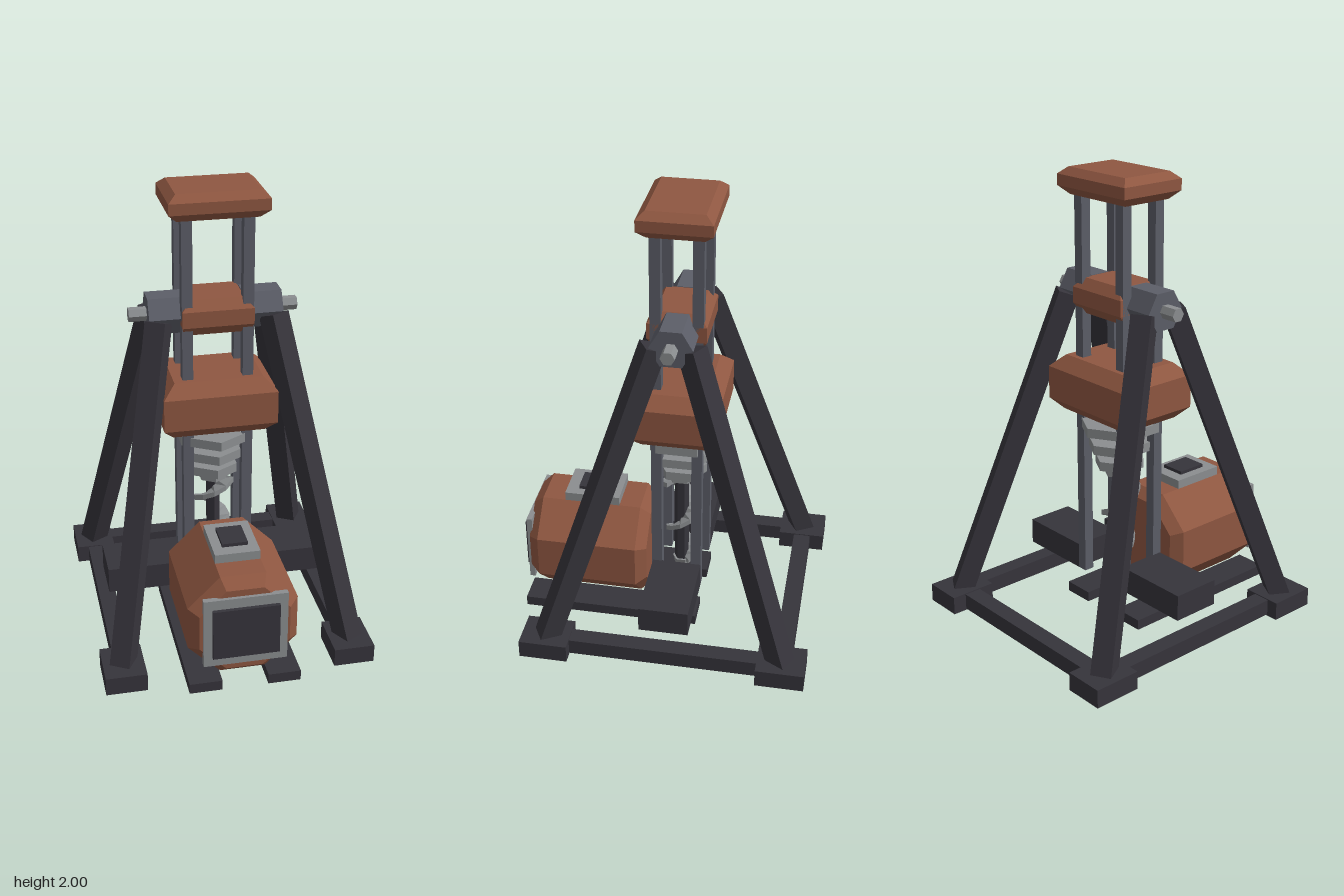
import * as THREE from 'three';
import { ConvexGeometry } from 'three/addons/geometries/ConvexGeometry.js';

const CZ = -0.037; // z of the tower axis

export function createModel() {
  const model = new THREE.Group();
  model.name = 'drillRig';

  const mat = (name, color) => {
    const m = new THREE.MeshStandardMaterial({ color, flatShading: true });
    m.name = name;
    return m;
  };
  const rust = mat('rustBrown', 0x8f5741);
  const dark = mat('darkIron', 0x36343b);
  const steel = mat('blueSteel', 0x5c5e68);
  const light = mat('lightSteel', 0x8b8e90);

  const add = (name, geo, material, x = 0, y = 0, z = 0) => {
    const mesh = new THREE.Mesh(geo, material);
    mesh.name = name;
    mesh.position.set(x, y, z);
    model.add(mesh);
    return mesh;
  };
  // box given by its limits on each axis
  const box = (name, material, [x0, x1], [y0, y1], [z0, z1]) =>
    add(name, new THREE.BoxGeometry(x1 - x0, y1 - y0, z1 - z0), material,
      (x0 + x1) / 2, (y0 + y1) / 2, (z0 + z1) / 2);
  // block with sloped top and bottom edges; rings are [y, half x, half z]
  const bevelBlock = (name, rings) => {
    const pts = [];
    for (const [y, hx, hz] of rings)
      for (const sx of [-1, 1]) for (const sz of [-1, 1]) pts.push(new THREE.Vector3(sx * hx, y, sz * hz));
    return add(name, new ConvexGeometry(pts), rust, 0, 0, CZ);
  };
  const hex = (name, material, r, y0, y1, rBottom = r) =>
    add(name, new THREE.CylinderGeometry(r, rBottom, y1 - y0, 6), material, 0, (y0 + y1) / 2, CZ);

  // Base frame
  for (const s of [-1, 1]) {
    const span = (a, b) => (s > 0 ? [a, b] : [-b, -a]);
    box('frontFoot', dark, span(0.41, 0.588), [0, 0.082], [0.38, 0.595]);
    box('rearFoot', dark, span(0.41, 0.588), [0, 0.082], [-0.67, -0.457]);
    box('sideBeam', dark, span(0.458, 0.536), [0.006, 0.078], [-0.46, 0.385]);
    box('tankSkid', dark, span(0.1, 0.242), [0, 0.046], [-0.14, 0.655]);
    box('guideBlock', dark, span(0.15, 0.5), [0.16, 0.277], [-0.149, 0.07]);
  }
  box('rearBeam', dark, [-0.42, 0.42], [0.006, 0.078], [-0.606, -0.528]);

  // Four leaning legs
  for (const sx of [-1, 1]) for (const sz of [-1, 1]) {
    const foot = new THREE.Vector3(sx * 0.5, 0.06, CZ + sz * 0.525);
    const head = new THREE.Vector3(sx * 0.246, 1.445, CZ + sz * 0.08);
    const leg = add('leg', new THREE.BoxGeometry(0.09, 0.09, foot.distanceTo(head)), dark);
    leg.position.copy(foot).add(head).multiplyScalar(0.5);
    leg.lookAt(head);
  }

  // Cross axle with hubs and pins
  for (const s of [-1, 1]) {
    const hub = add('axleHub', new THREE.CylinderGeometry(0.092, 0.092, 0.166, 6), steel, s * 0.203, 1.457, CZ);
    const pin = add('axlePin', new THREE.CylinderGeometry(0.031, 0.031, 0.1, 6), light, s * 0.312, 1.457, CZ);
    hub.rotation.z = pin.rotation.z = Math.PI / 2;
  }

  // Guide posts
  for (const sx of [-1, 1]) for (const sz of [-1, 1])
    add('guidePost', new THREE.BoxGeometry(0.046, 1.74, 0.046), steel, sx * 0.13, 1.03, CZ + sz * 0.089);

  // Bevelled housings along the tower
  bevelBlock('topCap', [[1.885, 0.172, 0.117], [1.922, 0.21, 0.155], [1.97, 0.21, 0.155], [2, 0.176, 0.121]]);
  bevelBlock('axleHousing', [[1.38, 0.14, 0.09], [1.425, 0.153, 0.126], [1.495, 0.153, 0.126], [1.537, 0.115, 0.09]]);
  bevelBlock('driveHousing', [[0.935, 0.2, 0.143], [0.985, 0.247, 0.19], [1.13, 0.247, 0.19], [1.185, 0.192, 0.135]]);

  // Drill: stepped collars, shaft and tip
  hex('drillCollar', light, 0.182, 0.865, 0.907);
  hex('drillCollar', light, 0.146, 0.775, 0.817);
  hex('drillCollar', light, 0.112, 0.69, 0.732);
  hex('drillCollar', light, 0.068, 0.65, 0.69);
  hex('drillShaft', dark, 0.032, 0.19, 0.94);
  hex('drillTip', light, 0.042, 0.02, 0.2, 0);

  // Screw flight: a rectangular section swept along a tapering helix
  const steps = 20, pos = [], idx = [];
  for (let i = 0; i <= steps; i++) {
    const t = i / steps, y = 0.2 + t * 0.45;
    const a = ((y - 0.61) / 0.25) * Math.PI * 2;
    const outer = 0.06 + 0.04 * t;
    for (const [r, h] of [[0.02, -0.012], [outer, -0.012], [outer, 0.012], [0.02, 0.012]])
      pos.push(r * Math.sin(a), y + h, r * Math.cos(a));
    if (i < steps) for (let k = 0; k < 4; k++) {
      const p = i * 4 + k, q = i * 4 + ((k + 1) % 4);
      idx.push(p, p + 4, q, q, p + 4, q + 4);
    }
  }
  const e = steps * 4;
  idx.push(0, 1, 2, 0, 2, 3, e, e + 2, e + 1, e, e + 3, e + 2);
  const flight = new THREE.BufferGeometry();
  flight.setAttribute('position', new THREE.Float32BufferAttribute(pos, 3));
  flight.setIndex(idx);
  flight.computeVertexNormals();
  const flightMat = light;
  flightMat.side = THREE.DoubleSide;
  add('drillFlight', flight, flightMat, 0, 0, CZ);

  // Eight-sided tank with bevelled ends
  const tank = [];
  for (const [z, inset] of [[0.093, 0.042], [0.138, 0], [0.588, 0], [0.635, 0.042]])
    for (let k = 0; k < 8; k++) {
      const a = ((k + 0.5) * Math.PI) / 4, r = (0.236 - inset) / Math.cos(Math.PI / 8);
      tank.push(new THREE.Vector3(r * Math.cos(a), 0.286 + r * Math.sin(a), z));
    }
  add('tank', new ConvexGeometry(tank), rust);

  // Tank front panel and top hatch
  box('panelFrame', light, [-0.18, 0.18], [0.125, 0.45], [0.625, 0.65]);
  box('panel', dark, [-0.143, 0.143], [0.17, 0.405], [0.645, 0.667]);
  box('hatchFrame', light, [-0.098, 0.098], [0.5, 0.562], [0.234, 0.484]);
  box('hatch', dark, [-0.056, 0.056], [0.55, 0.577], [0.29, 0.428]);

  return model;
}
